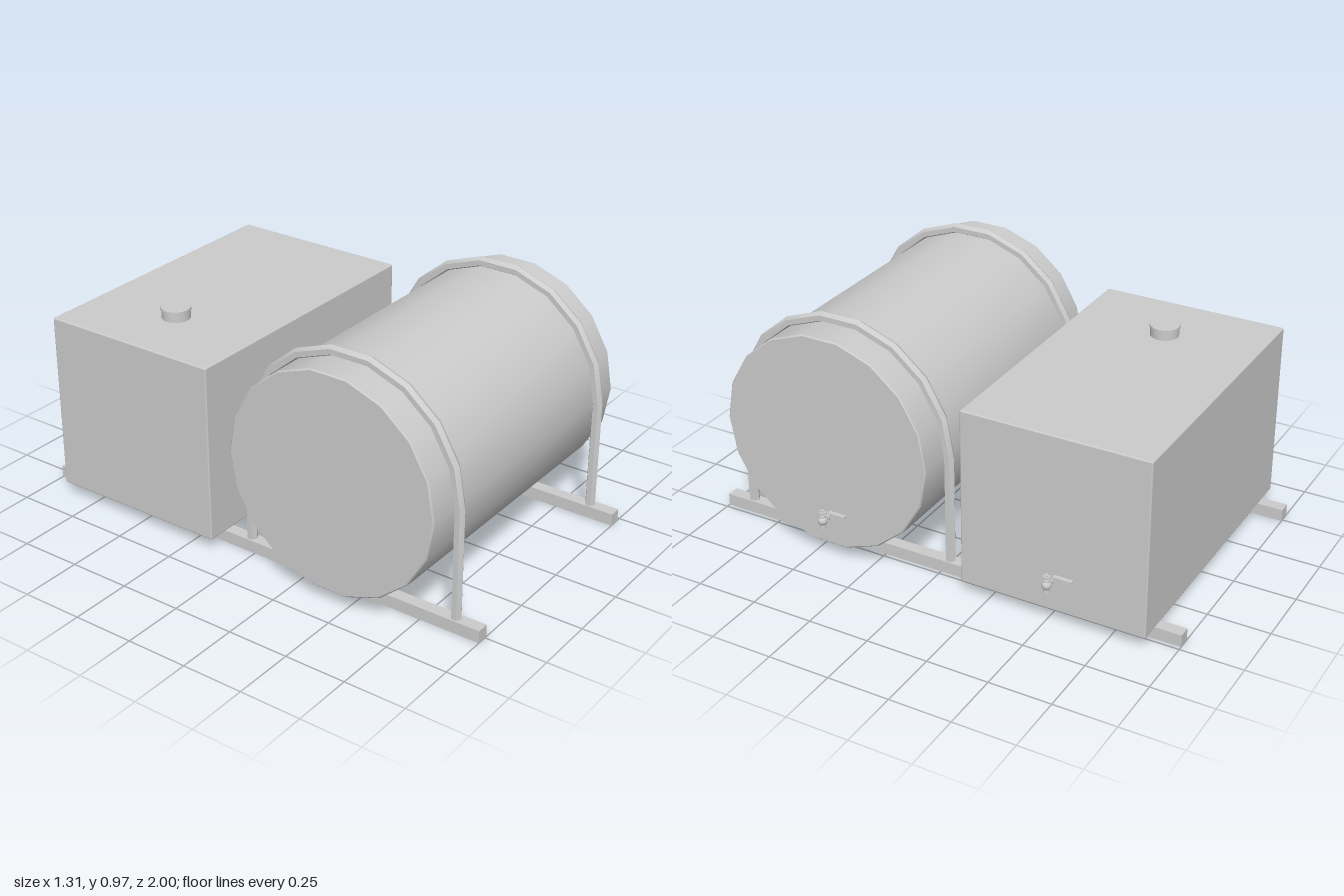
import * as THREE from 'three';
import { toCreasedNormals } from 'three/addons/utils/BufferGeometryUtils.js';
import { RoundedBoxGeometry } from 'three/addons/geometries/RoundedBoxGeometry.js';

const grey = new THREE.MeshStandardMaterial({ color: 0xcccccc });
const RAIL_X = [-0.516, 0.459];
const BARREL = { y: 0.495, z: 0.43, r: 0.443, x0: -0.655, x1: 0.6 };

function add(parent, name, geometry, x = 0, y = 0, z = 0) {
  const mesh = new THREE.Mesh(geometry, grey);
  mesh.name = name;
  mesh.position.set(x, y, z);
  parent.add(mesh);
  return mesh;
}

// Turned solid from [radius, height] pairs, listed bottom to top
function turned(profile, sides) {
  const points = profile.map(([r, h]) => new THREE.Vector2(r, h));
  return toCreasedNormals(new THREE.LatheGeometry(points, sides), 0.6);
}

// Six-sided tube: up one leg, over the barrel in nine straight steps, down the other leg
function hoopGeometry() {
  const R = 0.459, r = 0.021, sides = 6, foot = 0.05 - BARREL.y;
  const path = [{ z: R, y: foot, a: 0 }];
  for (let i = 0; i <= 9; i++) {
    const a = (i / 9) * Math.PI;
    path.push({ z: R * Math.cos(a), y: R * Math.sin(a), a });
  }
  path.push({ z: -R, y: foot, a: Math.PI });

  const positions = [], index = [];
  path.forEach((p, i) => {
    for (let j = 0; j < sides; j++) {
      const t = Math.PI / 6 + (j / sides) * Math.PI * 2;
      const out = r * Math.sin(t);
      positions.push(r * Math.cos(t), p.y + out * Math.sin(p.a), p.z + out * Math.cos(p.a));
      if (i === path.length - 1) continue;
      const k = (j + 1) % sides;
      const a = i * sides + j, b = a + sides, c = i * sides + k, d = c + sides;
      index.push(a, b, c, b, d, c);
    }
  });
  const g = new THREE.BufferGeometry();
  g.setAttribute('position', new THREE.Float32BufferAttribute(positions, 3));
  g.setIndex(index);
  return toCreasedNormals(g, 0.6);
}

// Tap pointing to +x, with its lever turned to the back
function makeTap(name) {
  const tap = new THREE.Group();
  tap.name = name;
  const pipe = new THREE.CylinderGeometry(0.009, 0.009, 0.05, 12).rotateZ(Math.PI / 2);
  add(tap, 'tapPipe', pipe, 0.015);
  add(tap, 'tapCollar', new THREE.CylinderGeometry(0.014, 0.014, 0.007, 12).rotateZ(Math.PI / 2), 0.012);
  add(tap, 'tapBody', new THREE.SphereGeometry(0.019, 14, 10), 0.037);
  add(tap, 'tapSpout', new THREE.CylinderGeometry(0.01, 0.012, 0.02, 12), 0.037, -0.02);
  add(tap, 'tapStem', turned([
    [0, 0.012], [0.011, 0.012], [0.011, 0.022], [0.007, 0.024], [0.007, 0.03],
    [0.014, 0.032], [0.014, 0.039], [0.008, 0.04], [0.008, 0.045], [0, 0.045],
  ], 12), 0.037);
  // Cranked flat lever, drawn from the side and extruded across its width
  const lever = new THREE.Shape([
    [-0.012, 0.034], [0.016, 0.034], [0.03, 0.043], [0.104, 0.043],
    [0.104, 0.048], [0.028, 0.048], [0.014, 0.039], [-0.012, 0.039],
  ].map(([x, y]) => new THREE.Vector2(x, y)));
  const leverGeometry = new THREE.ExtrudeGeometry(lever, { depth: 0.018, bevelEnabled: false });
  leverGeometry.translate(0, 0, -0.009).rotateY(Math.PI / 2);
  add(tap, 'tapLever', leverGeometry, 0.037);
  return tap;
}

export function createModel() {
  const model = new THREE.Group();
  model.name = 'tankSkid';

  // Base rails and the hoops standing on them
  const hoop = hoopGeometry();
  for (const x of RAIL_X) {
    add(model, 'baseRail', new THREE.BoxGeometry(0.05, 0.05, 2), x, 0.025, 0);
    add(model, 'hoop', hoop, x, BARREL.y, BARREL.z);
  }

  // Barrel lying along x, with lightly chamfered ends
  const { r, x0, x1 } = BARREL, c = 0.005;
  const barrel = turned([[0, x0], [r - c, x0], [r, x0 + c], [r, x1 - c], [r - c, x1], [0, x1]], 18);
  barrel.rotateZ(-Math.PI / 2);
  add(model, 'barrel', barrel, 0, BARREL.y, BARREL.z);

  // Box tank with its filler cap
  add(model, 'boxTank', new RoundedBoxGeometry(1.197, 0.725, 0.757, 2, 0.006), -0.029, 0.4125, -0.518);
  add(model, 'fillerCap', turned([
    [0.056, -0.005], [0.056, 0.036], [0.06, 0.036], [0.06, 0.046], [0.058, 0.048], [0, 0.048],
  ], 32), -0.345, 0.775, -0.518);

  // One tap on each tank
  const barrelTap = makeTap('barrelTap');
  barrelTap.position.set(x1, 0.18, 0.43);
  const boxTap = makeTap('boxTap');
  boxTap.position.set(0.57, 0.18, -0.518);
  model.add(barrelTap, boxTap);

  return model;
}
